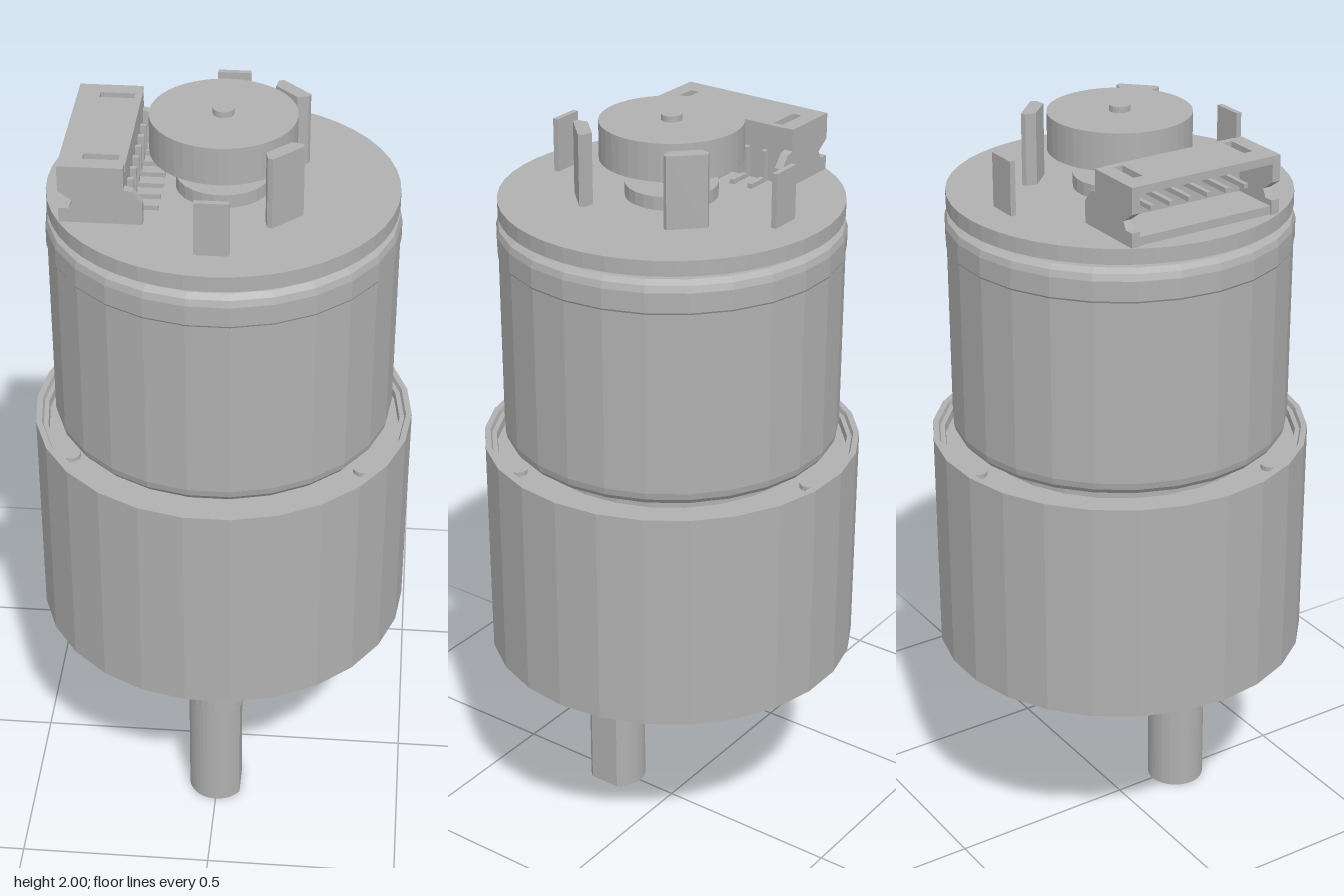
import * as THREE from 'three';

const metal = new THREE.MeshStandardMaterial({ color: 0xb0b0b0 });
metal.name = 'grey metal';

export function createModel() {
  const model = new THREE.Group();
  model.name = 'gearMotor';

  // Adds a faceted part
  const add = (name, geo, x = 0, y = 0, z = 0) => {
    const g = geo.index ? geo.toNonIndexed() : geo;
    g.computeVertexNormals();
    const mesh = new THREE.Mesh(g, metal);
    mesh.name = name;
    mesh.position.set(x, y, z);
    model.add(mesh);
    return mesh;
  };
  const box = (name, x0, x1, y0, y1, z0, z1) =>
    add(name, new THREE.BoxGeometry(x1 - x0, y1 - y0, z1 - z0), (x0 + x1) / 2, (y0 + y1) / 2, (z0 + z1) / 2);
  // Profile of [radius, y] from the bottom axis round to the top axis
  const lathe = (name, pts, sides = 26, z = 0) =>
    add(name, new THREE.LatheGeometry(pts.map(p => new THREE.Vector2(...p)), sides, Math.PI / 2), 0, 0, z);
  const disc = (name, r, y0, y1, sides = 26, z = 0) =>
    lathe(name, [[0, y0], [r, y0], [r, y1], [0, y1]], sides, z);
  // Plan outline in (x, z), extruded from y0 up to y1
  const slab = (name, shape, y0, y1, x = 0, z = 0) => {
    const g = new THREE.ExtrudeGeometry(shape, { depth: y1 - y0, bevelEnabled: false, curveSegments: 16 });
    return add(name, g.rotateX(Math.PI / 2), x, y1, z);
  };
  const polygon = pts => new THREE.Shape(pts.map(p => new THREE.Vector2(...p)));
  const polar = (r, deg) => [r * Math.cos(deg * Math.PI / 180), r * Math.sin(deg * Math.PI / 180)];
  const hole = (cx, cz, r) => new THREE.Path().absarc(cx, cz, r, 0, Math.PI * 2, true);

  // Output shaft with a flat on +x, and its bearing boss
  const shaftZ = 0.188, shaftR = 0.077, flat = 0.59;
  const dShape = new THREE.Shape().absarc(0, 0, shaftR, flat, Math.PI * 2 - flat, false);
  dShape.closePath();
  slab('shaftFlatEnd', dShape, 0, 0.32, 0, shaftZ);
  disc('shaft', shaftR, 0.32, 0.44, 24, shaftZ);
  lathe('shaftBoss', [[0, 0.428], [0.142, 0.428], [0.155, 0.44], [0.155, 0.57], [0, 0.57]], 26, shaftZ);

  // Gearbox face plate: mounting holes and a crescent recess beside the boss
  const R = 0.483;
  const plate = polygon(Array.from({ length: 26 }, (_, i) => polar(R, i * 360 / 26)));
  for (let i = 0; i < 6; i++) plate.holes.push(hole(...polar(0.41, i * 60), 0.046));
  const screwAngles = [30, 150, 270];
  for (const a of screwAngles) plate.holes.push(hole(...polar(0.41, a), 0.038));
  const cx = 0.278, cz = 0.158, recessR = 0.32, islandR = 0.28;
  const a0 = Math.atan2(cz, cx), b0 = Math.atan2(cz - shaftZ, cx);
  const crescent = new THREE.Path();
  crescent.absarc(0, 0, recessR, a0, Math.PI - a0, true);
  crescent.absarc(0, shaftZ, islandR, Math.PI - b0, b0 + Math.PI * 2, false);
  plate.holes.push(crescent);
  slab('gearboxFace', plate, 0.56, 0.615);

  // Gearbox can with a raised rim round its sunken top
  lathe('gearboxCan', [[0, 0.615], [R, 0.615], [R, 1.146], [0.468, 1.146], [0.464, 1.135],
    [0.452, 1.135], [0.45, 1.115], [0, 1.115]]);
  for (const a of screwAngles) {
    const [x, z] = polar(0.41, a);
    add('faceScrew', new THREE.CylinderGeometry(0.025, 0.025, 0.03, 12), x, 0.605, z);
    const [u, v] = polar(0.425, a);
    add('topScrew', new THREE.CylinderGeometry(0.026, 0.026, 0.014, 14), u, 1.12, v);
  }

  // Motor can with rounded ends
  lathe('motorCan', [[0, 1.11], [0.36, 1.11], [0.36, 1.15], [0.395, 1.15], [0.415, 1.158], [0.426, 1.172],
    [0.43, 1.19], [0.43, 1.66], [0.433, 1.665], [0.433, 1.715], [0.428, 1.732], [0.412, 1.742], [0, 1.742]]);
  disc('boardSpacer', 0.115, 1.74, 1.757);

  // Circuit board, rear bearing, encoder magnet and rear shaft
  disc('circuitBoard', 0.427, 1.755, 1.794, 48);
  disc('rearBearing', 0.115, 1.79, 1.828);
  disc('rearShaft', 0.026, 1.82, 2, 20);
  disc('encoderMagnet', 0.177, 1.89, 1.985, 40);

  // Motor terminals and angled sensors, mirrored front to back
  for (const s of [-1, 1]) {
    box('motorTerminal', -0.041, 0.041, 1.742, 1.93, s * 0.327 - 0.007, s * 0.327 + 0.007);
    const outline = [[0.113, 0.168], [0.118, 0.195], [0.13, 0.2], [0.2, 0.13], [0.195, 0.118], [0.168, 0.113]];
    slab('hallSensor', polygon(outline.map(([x, z]) => [x, s * z])), 1.79, 1.976);
  }

  // Cable socket opening toward -x: two cheeks, slotted roof, floor and back wall
  const cheek = polygon([[-0.37, 1.94], [-0.215, 1.94], [-0.215, 1.885], [-0.195, 1.88], [-0.172, 1.85], [-0.172, 1.793],
    [-0.37, 1.793], [-0.37, 1.83], [-0.345, 1.83], [-0.335, 1.85], [-0.37, 1.875]]);
  for (const z of [-0.209, 0.187])
    add('socketCheek', new THREE.ExtrudeGeometry(cheek, { depth: 0.022, bevelEnabled: false }), 0, 0, z);
  const roof = polygon([[-0.37, -0.187], [-0.212, -0.187], [-0.212, 0.187], [-0.37, 0.187]]);
  for (const s of [-1, 1]) {
    const slot = [[-0.315, 0.143], [-0.23, 0.143], [-0.23, 0.168], [-0.315, 0.168]];
    roof.holes.push(new THREE.Path(slot.map(([x, z]) => new THREE.Vector2(x, s * z))));
  }
  slab('socketRoof', roof, 1.92, 1.94);
  box('socketFloor', -0.365, -0.215, 1.793, 1.815, -0.187, 0.187);
  box('socketBack', -0.24, -0.215, 1.815, 1.92, -0.187, 0.187);

  // Six bent pins
  for (let i = 0; i < 6; i++) {
    const z = (i - 2.5) * 0.053, w = 0.006;
    box('pinContact', -0.34, -0.235, 1.862, 1.874, z - w, z + w);
    box('pinLeg', -0.216, -0.2, 1.795, 1.874, z - w, z + w);
    box('pinFoot', -0.2, -0.143, 1.793, 1.806, z - w, z + w);
  }
  return model;
}
